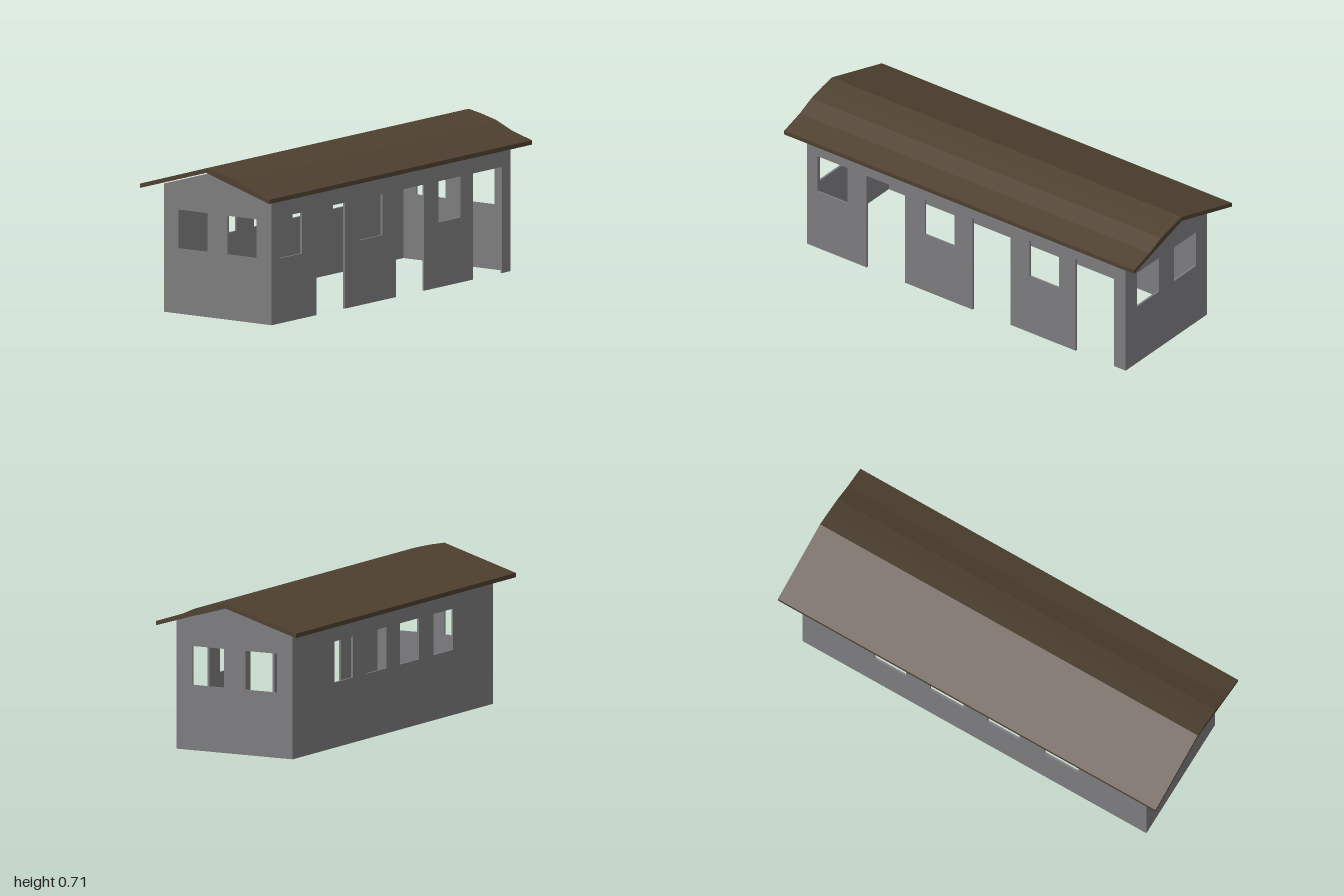
import * as THREE from 'three';

const T = 0.01; // wall thickness
const FRONT = 0.313, BACK = -0.298, HALF = 0.91, EAVE = 0.592;

const wallGrey = new THREE.MeshStandardMaterial({ color: 0x7c7c7e });
wallGrey.name = 'wallGrey';
const roofBrown = new THREE.MeshStandardMaterial({ color: 0x4e4030 });
roofBrown.name = 'roofBrown';

const toShape = (pts) => new THREE.Shape(pts.map(([x, y]) => new THREE.Vector2(x, y)));

// Flat panel with rectangular openings [x0, x1, y0, y1], extruded along +z
function panel(outline, windows, depth) {
  const shape = toShape(outline);
  for (const [x0, x1, y0, y1] of windows) {
    shape.holes.push(toShape([[x0, y0], [x0, y1], [x1, y1], [x1, y0]]));
  }
  return new THREE.ExtrudeGeometry(shape, { depth, bevelEnabled: false });
}

export function createModel() {
  const group = new THREE.Group();
  const add = (name, geometry, material) => {
    const mesh = new THREE.Mesh(geometry, material);
    mesh.name = name;
    group.add(mesh);
    return mesh;
  };

  // Long walls fit between the two gable walls
  const inner = HALF - T;
  const openings = (list) => list.map(([a, b]) => [a, b, 0.3, 0.49]);

  // Front wall: three doorways notched from the ground, three windows
  const doors = [[-0.57, -0.352], [0.035, 0.252], [0.625, 0.845]];
  const frontOutline = [[-inner, 0]];
  for (const [a, b] of doors) frontOutline.push([a, 0], [a, 0.49], [b, 0.49], [b, 0]);
  frontOutline.push([inner, 0], [inner, EAVE], [-inner, EAVE]);
  const frontWindows = openings([[-0.85, -0.68], [-0.237, -0.067], [0.362, 0.53]]);
  add('frontWall', panel(frontOutline, frontWindows, T), wallGrey).position.z = FRONT - T;

  // Back wall: four windows
  const backOutline = [[-inner, 0], [inner, 0], [inner, EAVE], [-inner, EAVE]];
  const backWindows = openings([[-0.55, -0.37], [-0.237, -0.067], [0.057, 0.237], [0.362, 0.53]]);
  add('backWall', panel(backOutline, backWindows, T), wallGrey).position.z = BACK;

  // Gable walls, drawn with -z across and then turned to face along x
  const gableOutline = [[-FRONT, 0], [-BACK, 0], [-BACK, EAVE], [-0.008, 0.678], [-FRONT, EAVE]];
  const gableWindows = [[-0.228, -0.063, 0.3, 0.48], [0.05, 0.215, 0.3, 0.48]];
  for (const [name, x] of [['leftGableWall', HALF - T], ['rightGableWall', -HALF]]) {
    const wall = add(name, panel(gableOutline, gableWindows, T), wallGrey);
    wall.rotation.y = Math.PI / 2;
    wall.position.x = x;
  }

  // Roof: straight underside, with a raised swell along the front slope
  const roofOutline = [
    [-0.367, 0.577], [-0.008, 0.685], [0.367, 0.577], [0.367, 0.597], [-0.008, 0.706],
    [-0.08, 0.692], [-0.165, 0.67], [-0.25, 0.632], [-0.367, 0.597],
  ];
  const roof = add('roof', panel(roofOutline, [], 2), roofBrown);
  roof.rotation.y = Math.PI / 2;
  roof.position.x = -1;

  return group;
}
